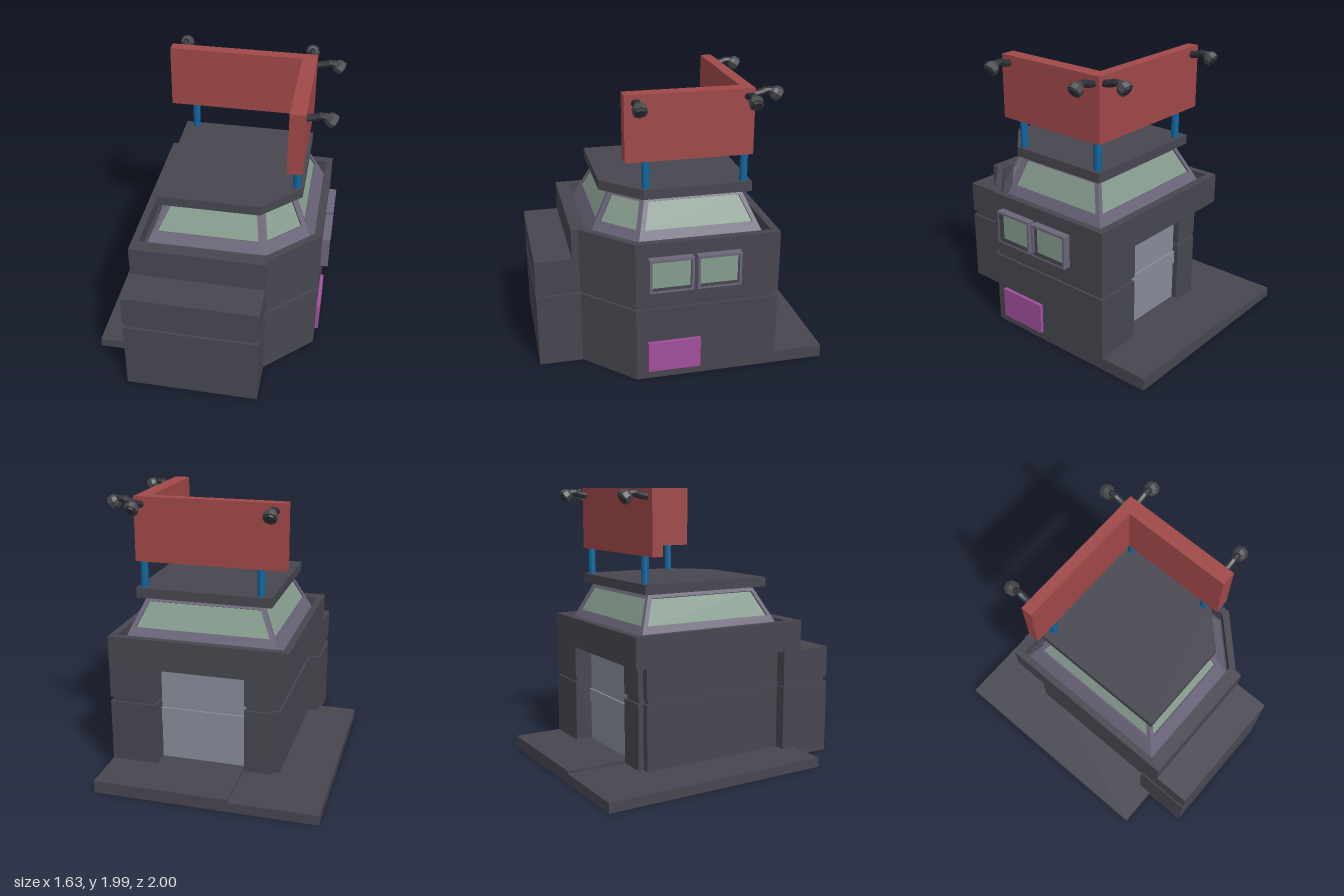
import * as THREE from 'three';

const mat = (color) => new THREE.MeshStandardMaterial({ color, flatShading: true });
const M = {
  wall: mat(0x474650), frame: mat(0x6b667a), glass: mat(0x869c8e), board: mat(0xa04848),
  post: mat(0x0f659c), panel: mat(0xa04f9c), arm: mat(0x2f3037), lamp: mat(0x45464a), door: mat(0x868c9a),
};

function add(parent, name, geometry, material) {
  const mesh = new THREE.Mesh(geometry, material);
  mesh.name = name;
  parent.add(mesh);
  return mesh;
}

// box given by its min and max corners
function box(parent, name, material, x0, x1, y0, y1, z0, z1) {
  const m = add(parent, name, new THREE.BoxGeometry(x1 - x0, y1 - y0, z1 - z0), material);
  m.position.set((x0 + x1) / 2, (y0 + y1) / 2, (z0 + z1) / 2);
  return m;
}

// vertical prism over a plan outline of [x, z] points, with an optional hole
function prism(parent, name, material, plan, y0, y1, hole) {
  const pts = (a) => a.map(([x, z]) => new THREE.Vector2(x, -z));
  const shape = new THREE.Shape(pts(plan));
  if (hole) shape.holes.push(new THREE.Path(pts(hole)));
  const g = new THREE.ExtrudeGeometry(shape, { depth: y1 - y0, bevelEnabled: false });
  g.rotateX(-Math.PI / 2).translate(0, y0, 0);
  return add(parent, name, g, material);
}

// moves every edge of a plan outline inwards by d
function inset(plan, d) {
  const n = plan.length;
  const v = plan.map(([x, z]) => new THREE.Vector2(x, z));
  const sign = THREE.ShapeUtils.area(v) > 0 ? 1 : -1;
  const normal = (a, b) => new THREE.Vector2(a.y - b.y, b.x - a.x).normalize().multiplyScalar(sign);
  return v.map((p, i) => {
    const n0 = normal(v[(i + n - 1) % n], p);
    const n1 = normal(p, v[(i + 1) % n]);
    const k = d / (1 + n0.dot(n1));
    return [p.x + (n0.x + n1.x) * k, p.y + (n0.y + n1.y) * k];
  });
}

// sloping cabin walls: a frame with a window opening and recessed glass
function cabin(parent) {
  const y0 = 0.92, y1 = 1.28;
  const base = [[-0.47, 0.63], [0.4, 0.63], [0.7, 0.335], [0.7, -0.58], [-0.47, -0.58]];
  const top = [[-0.3, 0.455], [0.34, 0.455], [0.54, 0.25], [0.54, -0.42], [-0.3, -0.42]];
  const at = ([x, z], y) => new THREE.Vector3(x, y, z);
  base.forEach((p, i) => {
    const j = (i + 1) % base.length;
    const a = at(p, y0), b = at(base[j], y0), c = at(top[j], y1), d = at(top[i], y1);
    const X = b.clone().sub(a).normalize();
    const N = X.clone().cross(d.clone().sub(a)).normalize();
    const Y = N.clone().cross(X);
    const flat = (q) => {
      const r = q.clone().sub(a);
      return new THREE.Vector2(r.dot(X), r.dot(Y));
    };
    const side = (y, m) => {
      const t = (y - y0) / (y1 - y0);
      const l = a.clone().lerp(d, t).addScaledVector(X, m);
      const r = b.clone().lerp(c, t).addScaledVector(X, -m);
      return [flat(l), flat(r)];
    };
    const [l0, r0] = side(1.07, 0.033), [l1, r1] = side(1.245, 0.033);
    const opening = [l0, r0, r1, l1];
    const shape = new THREE.Shape([a, b, c, d].map(flat));
    shape.holes.push(new THREE.Path(opening));
    const wall = new THREE.Group();
    wall.name = 'cabinWall';
    wall.matrix.makeBasis(X, Y, N).setPosition(a);
    wall.matrix.decompose(wall.position, wall.quaternion, wall.scale);
    const g = new THREE.ExtrudeGeometry(shape, { depth: 0.02, bevelEnabled: false });
    add(wall, 'cabinFrame', g.translate(0, 0, -0.02), M.frame);
    add(wall, 'cabinGlass', new THREE.ShapeGeometry(new THREE.Shape(opening)), M.glass).position.z = -0.014;
    parent.add(wall);
  });
}

// protruding side window, opening towards +x
function sideWindow(parent, z0, z1) {
  const y0 = 0.69, y1 = 0.93, t = 0.017;
  const loop = (k) => [[z0 + k, y0 + k], [z1 - k, y0 + k], [z1 - k, y1 - k], [z0 + k, y1 - k]]
    .map(([z, y]) => new THREE.Vector2(-z, y));
  const shape = new THREE.Shape(loop(0));
  shape.holes.push(new THREE.Path(loop(t)));
  const g = new THREE.ExtrudeGeometry(shape, { depth: 0.065, bevelEnabled: false });
  g.rotateY(Math.PI / 2).translate(0.75, 0, 0);
  add(parent, 'sideWindowFrame', g, M.frame);
  box(parent, 'sideWindowGlass', M.glass, 0.75, 0.775, y0 + t, y1 - t, z0 + t, z1 - t);
}

// floodlight on a bent arm that reaches along local +x
function floodlight(parent, x, z, turn) {
  const light = new THREE.Group();
  light.name = 'floodlight';
  const path = new THREE.CatmullRomCurve3([[-0.02, -0.005], [0.05, 0.006], [0.1, 0.022], [0.14, 0.008]]
    .map(([px, py]) => new THREE.Vector3(px, py, 0)));
  add(light, 'lightArm', new THREE.TubeGeometry(path, 6, 0.025, 8), M.arm);
  const head = new THREE.Group();
  head.name = 'lightHead';
  add(head, 'lightHousing', new THREE.CylinderGeometry(0.05, 0.032, 0.025, 8), M.lamp).position.y = -0.018;
  add(head, 'lightRim', new THREE.CylinderGeometry(0.05, 0.05, 0.038, 8), M.lamp).position.y = 0.013;
  add(head, 'lightLens', new THREE.CylinderGeometry(0.03, 0.04, 0.012, 8), M.arm).position.y = 0.036;
  head.position.set(0.152, 0, 0);
  head.rotation.z = -Math.PI / 2 - 0.56;
  light.add(head);
  light.position.set(x, 1.94, z);
  light.rotation.y = turn;
  parent.add(light);
}

export function createModel() {
  const model = new THREE.Group();
  model.name = 'guardBuilding';

  // ground slabs
  box(model, 'sideSlab', M.wall, -0.82, -0.2, 0, 0.07, -1, 0.69);
  box(model, 'driveway', M.wall, -0.2, 0.42, 0, 0.09, -1, -0.48);
  box(model, 'rearSlab', M.wall, 0.42, 0.76, 0, 0.09, -1, -0.6);

  // lower storey with door recess, set-back side wall and a groove all round
  const plan = [[0.76, -0.645], [0.76, 0.36], [0.42, 0.69], [0.42, 1], [-0.53, 1], [-0.53, 0.59], [-0.45, 0.59],
    [-0.45, -0.52], [-0.4, -0.52], [-0.4, -0.56], [-0.2, -0.56], [-0.2, -0.5], [0.42, -0.5], [0.42, -0.645]];
  prism(model, 'lowerWall', M.wall, plan, 0, 0.54);
  prism(model, 'wallGroove', M.wall, inset(plan, 0.016), 0.54, 0.575);
  prism(model, 'middleWall', M.wall, plan, 0.575, 0.81);

  // overhanging upper storey with a sunken deck
  const upper = [[0.76, -0.645], [0.76, 0.36], [0.42, 0.69], [0.42, 0.74], [-0.53, 0.74], [-0.53, -0.645]];
  const deck = [[-0.48, 0.64], [0.405, 0.64], [0.71, 0.338], [0.71, -0.59], [-0.48, -0.59]];
  prism(model, 'upperWall', M.wall, upper, 0.81, 1.03, deck);
  prism(model, 'deck', M.wall, deck, 0.81, 0.92);

  // rear door in three bands
  box(model, 'doorLower', M.door, -0.2, 0.42, 0.09, 0.38, -0.52, -0.48);
  box(model, 'doorBand', M.door, -0.2, 0.42, 0.38, 0.48, -0.53, -0.48);
  box(model, 'doorUpper', M.door, -0.2, 0.42, 0.48, 0.81, -0.515, -0.48);

  // side windows and hatch
  sideWindow(model, -0.03, 0.275);
  sideWindow(model, -0.36, -0.055);
  box(model, 'sideHatch', M.panel, 0.75, 0.785, 0.065, 0.29, -0.09, 0.28);

  // glazed cabin and roof
  cabin(model);
  prism(model, 'roof', M.wall,
    [[-0.37, 0.53], [0.34, 0.53], [0.6, 0.27], [0.6, -0.48], [-0.37, -0.48]], 1.278, 1.347);

  // L-shaped sign board on posts
  prism(model, 'signBoard', M.board,
    [[-0.465, -0.48], [0.595, -0.48], [0.595, 0.39], [0.49, 0.39], [0.49, -0.4], [-0.465, -0.4]], 1.54, 1.99);
  for (const [x, z] of [[-0.285, -0.435], [0.553, -0.43], [0.553, 0.245]]) {
    add(model, 'post', new THREE.CylinderGeometry(0.027, 0.027, 0.22, 12), M.post).position.set(x, 1.445, z);
  }

  // floodlights along both outer faces of the board
  for (const z of [-0.43, 0.32]) floodlight(model, 0.595, z, 0);
  for (const x of [-0.39, 0.545]) floodlight(model, x, -0.48, Math.PI / 2);

  return model;
}
